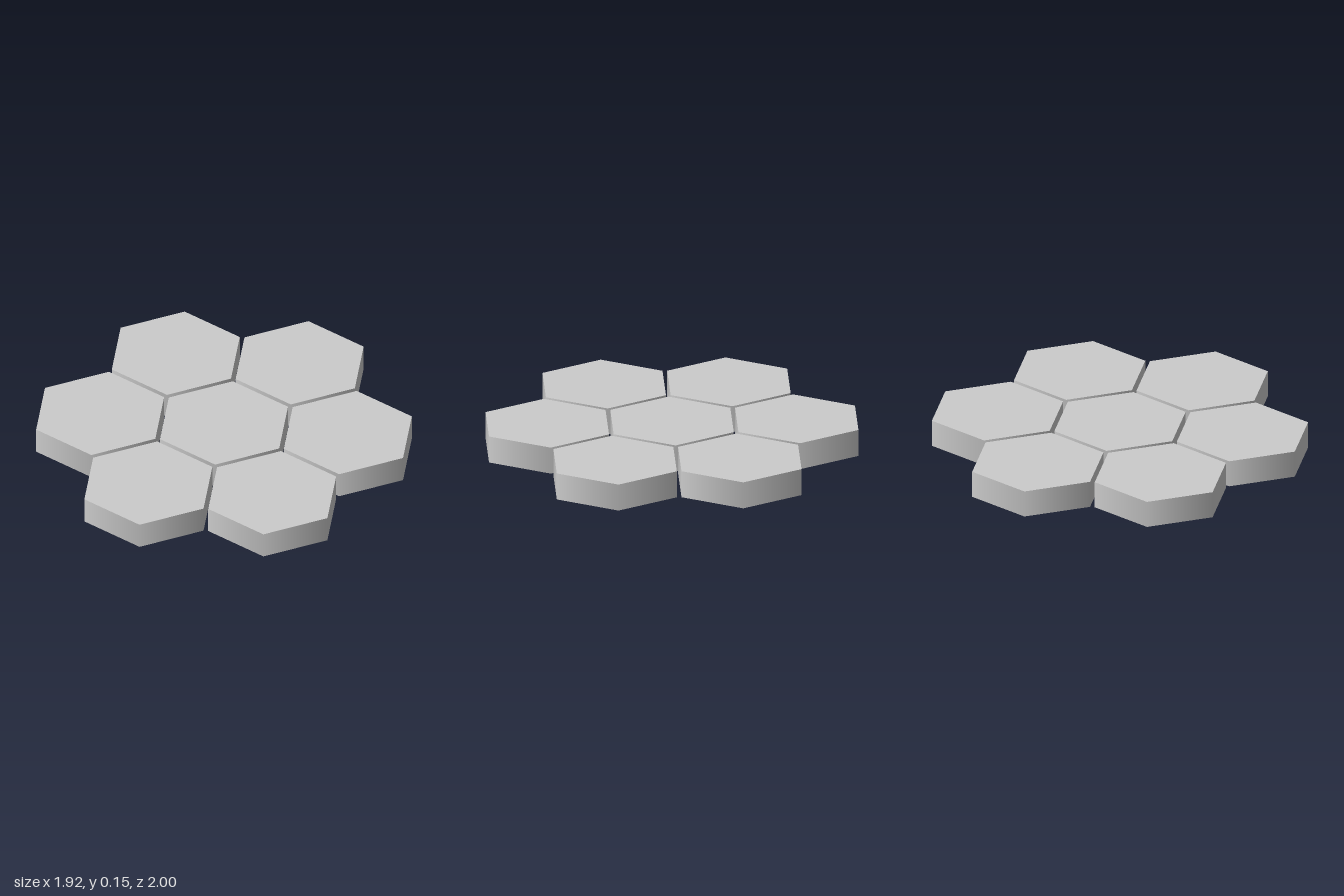
import * as THREE from 'three';

const RADIUS = 0.375;   // centre to corner
const HEIGHT = 0.15;
const SPACING = 0.675;  // distance between neighbouring tile centres

export function createModel() {
  const group = new THREE.Group();
  group.name = 'hexTileCluster';
  const material = new THREE.MeshStandardMaterial({ color: 0xcccccc });

  // Six-sided prism with corners on the x axis and smooth side normals
  const geometry = new THREE.CylinderGeometry(RADIUS, RADIUS, HEIGHT, 6, 1, false, Math.PI / 2);

  const addTile = (name, x, z) => {
    const tile = new THREE.Mesh(geometry, material);
    tile.name = name;
    tile.position.set(x, HEIGHT / 2, z);
    group.add(tile);
  };

  // Centre tile, then a ring of six starting at the front
  addTile('centreTile', 0, 0);
  for (let i = 0; i < 6; i++) {
    const angle = (i * Math.PI) / 3;
    addTile(`ringTile${i + 1}`, SPACING * Math.sin(angle), SPACING * Math.cos(angle));
  }

  return group;
}
